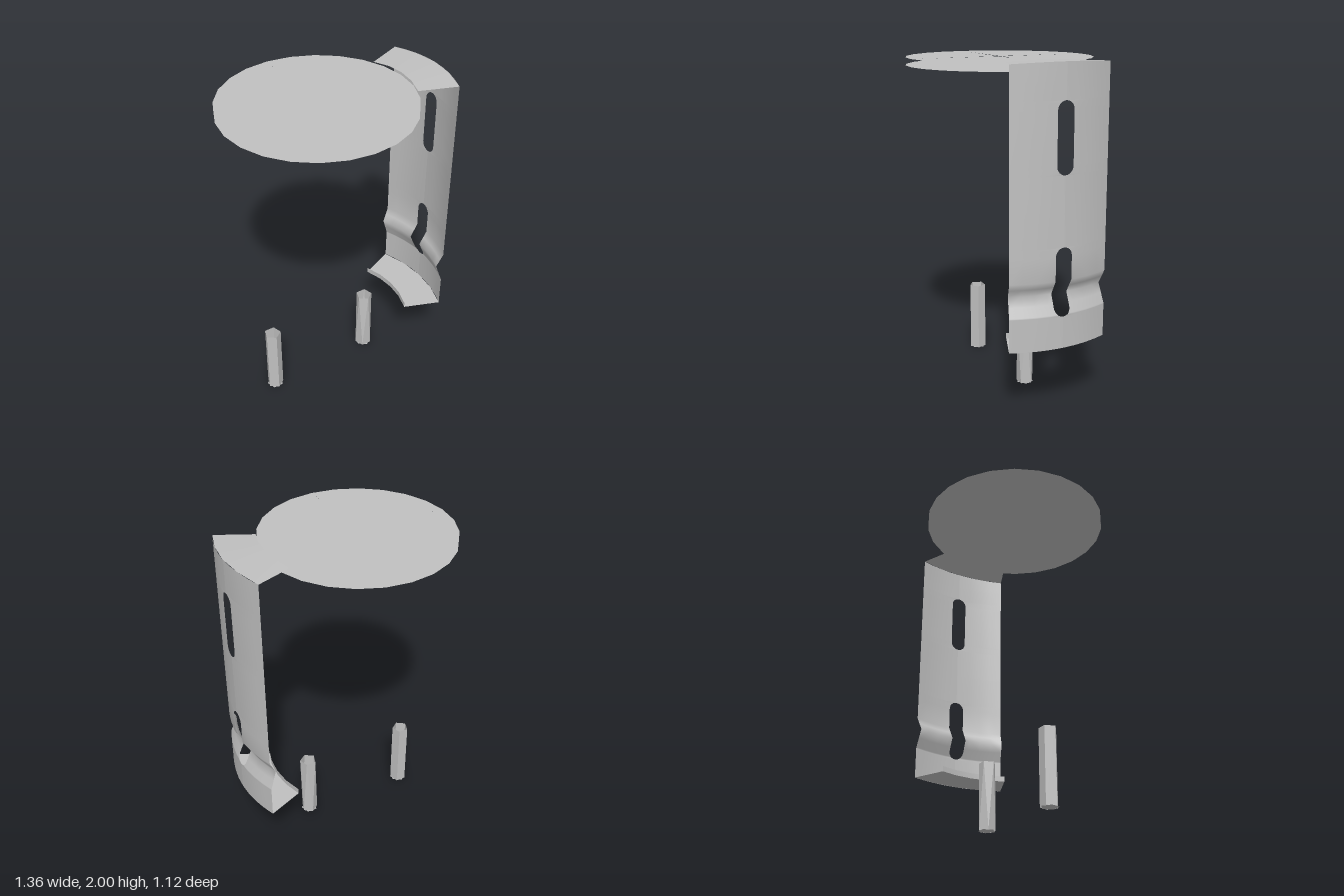
import * as THREE from 'three';

const DISC_X = -0.12, DISC_R = 0.56;
const T = [-1, -0.5, 0, 0.5, 1]; // stations across the bracket width

// Skin a surface through rows of [x, y, z] points
function loft(rows) {
  const n = rows[0].length, index = [];
  for (let r = 0; r < rows.length - 1; r++) {
    for (let c = 0; c < n - 1; c++) {
      const a = r * n + c, b = a + n;
      index.push(a, b, a + 1, a + 1, b, b + 1);
    }
  }
  const g = new THREE.BufferGeometry();
  g.setAttribute('position', new THREE.Float32BufferAttribute(rows.flat(2), 3));
  g.setIndex(index);
  g.computeVertexNormals();
  return g;
}

// Bowed plan of the upright plate and of the disc edge
const plateX = (z) => 0.675 - 0.062 * (z / 0.305) ** 2;
const discEdge = (t, y) => [DISC_X + Math.sqrt(DISC_R ** 2 - (0.215 * t) ** 2), y, 0.215 * t];
const plateEdge = (t, y) => [plateX(0.305 * t), y, 0.305 * t];

// Depth of the V-shaped crimp, 0 to 1
function crimp(y) {
  if (y <= 0.61 || y >= 0.81) return 0;
  return y < 0.725 ? (y - 0.61) / 0.115 : (0.81 - y) / 0.085;
}

// Half width of the two round-ended slots at height y
const SLOTS = [[0.6, 1.0], [1.4, 1.8]], SLOT_R = 0.05;
function slotHalf(y) {
  for (const [lo, hi] of SLOTS) {
    if (y < lo || y > hi) continue;
    const d = Math.max(lo + SLOT_R - y, y - hi + SLOT_R, 0);
    return Math.sqrt(Math.max(SLOT_R ** 2 - d * d, 0));
  }
  return 0;
}

export function createModel() {
  const model = new THREE.Group();
  const steel = new THREE.MeshStandardMaterial({ color: 0xc0c0c0, side: THREE.DoubleSide });
  steel.name = 'grey steel';
  const add = (name, geometry, x = 0, y = 0, z = 0) => {
    const m = new THREE.Mesh(geometry, steel);
    m.name = name;
    m.position.set(x, y, z);
    model.add(m);
    return m;
  };

  // Upper disc with a tapering cross-shaped slit
  const outline = new THREE.Shape();
  for (let i = 0; i < 24; i++) {
    const a = (i / 24) * Math.PI * 2, x = DISC_R * Math.cos(a), y = DISC_R * Math.sin(a);
    i ? outline.lineTo(x, y) : outline.moveTo(x, y);
  }
  outline.closePath();
  const star = new THREE.Path();
  for (let i = 0; i < 8; i++) {
    const a = (-i / 8) * Math.PI * 2, r = i % 2 ? 0.01 : 0.515;
    i ? star.lineTo(r * Math.cos(a), r * Math.sin(a)) : star.moveTo(r, 0);
  }
  star.closePath();
  outline.holes.push(star);
  add('upperDisc', new THREE.ShapeGeometry(outline).rotateX(-Math.PI / 2), DISC_X, 1.978);

  // Lower disc
  add('lowerDisc', new THREE.CircleGeometry(DISC_R, 24).rotateX(-Math.PI / 2), DISC_X, 1.932);

  // Tab joining the disc to the upright
  add('topTab', loft([
    T.map((t) => discEdge(t, 1.983 + 0.012 * (1 - t * t))),
    T.map((t) => plateEdge(t, 1.99 + 0.01 * (1 - t * t))),
  ]));

  // Upright plate: two mirrored halves that part around the slots
  const heights = [0.412, 0.61, 0.67, 0.725, 0.77, 0.81, 1.2, 1.9];
  for (const [lo, hi] of SLOTS) {
    for (let i = 0; i <= 6; i++) {
      const d = SLOT_R * (1 - Math.cos((i / 6) * Math.PI / 2));
      heights.push(lo + d, hi - d);
    }
  }
  heights.sort((a, b) => a - b);
  heights.push(1.99);
  for (const side of [1, -1]) {
    const rows = heights.map((y) => {
      const k = crimp(y), w = slotHalf(y);
      return [w, 0.08, 0.16, 0.235, 0.305].map((z) => {
        const top = y === 1.99 ? 0.01 * (1 - (z / 0.305) ** 2) : 0;
        return [plateX(z) - k * (0.052 - 0.04 * z), y + top, side * z * (1 - 0.04 * k)];
      });
    });
    add(side > 0 ? 'uprightLeftHalf' : 'uprightRightHalf', loft(rows));
  }

  // Bottom flange and its small upturned lip
  add('bottomFlange', loft([
    T.map((t) => discEdge(t, 0.406)),
    T.map((t) => plateEdge(t, 0.412)),
  ]));
  add('flangeLip', loft([
    T.map((t) => discEdge(t, 0.406)),
    T.map((t) => discEdge(t, 0.44)),
  ]));

  // Hollow five-sided pins, open on top; the second one is twisted
  const pin = (name, x, bottom, twist) => {
    const h = 0.44 - bottom, r = 0.052;
    const wall = new THREE.CylinderGeometry(r, r, h, 5, 1, true);
    const p = wall.attributes.position, v = new THREE.Vector3();
    const up = new THREE.Vector3(0, 1, 0);
    for (let i = 0; i < p.count; i++) {
      v.fromBufferAttribute(p, i);
      if (v.y < 0) v.applyAxisAngle(up, twist);
      p.setXYZ(i, v.x, v.y, v.z);
    }
    const flat = wall.toNonIndexed();
    flat.computeVertexNormals();
    add(name, flat, x, bottom + h / 2);
    const cap = new THREE.CircleGeometry(r, 5).rotateX(Math.PI / 2).rotateY(Math.PI / 2 + twist);
    add(name + 'Base', cap, x, bottom);
  };
  pin('outerPin', -0.47, 0, 0);
  pin('innerPin', 0.222, 0.025, Math.PI / 5);

  return model;
}
